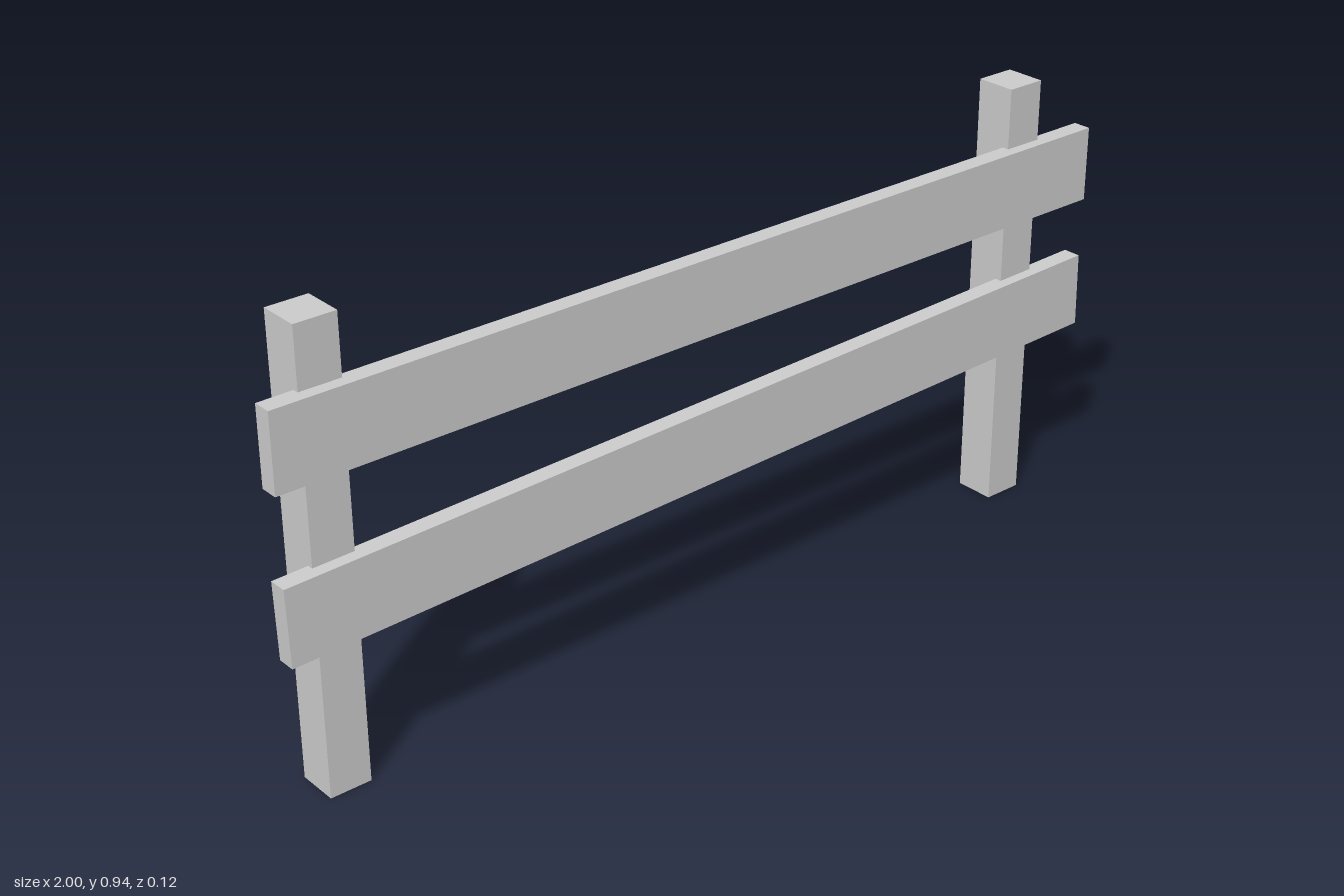
import * as THREE from 'three';

export function createModel() {
  const group = new THREE.Group();
  const material = new THREE.MeshStandardMaterial({ color: 0xcccccc, flatShading: true });

  // A plank or post, given its size and centre
  function timber(name, size, centre) {
    const mesh = new THREE.Mesh(new THREE.BoxGeometry(...size), material);
    mesh.name = name;
    mesh.position.set(...centre);
    group.add(mesh);
    return mesh;
  }

  // Square posts, standing slightly out of line with each other
  const postHeight = 0.94, postWidth = 0.087;
  timber('rightPost', [postWidth, postHeight, postWidth], [-0.881, postHeight / 2, -0.009]);
  timber('leftPost', [postWidth, postHeight, postWidth], [0.823, postHeight / 2, -0.018]);

  // Rails nailed across the front, each tilted from its -x end to its +x end
  function rail(name, yStart, yEnd) {
    const slope = Math.atan2(yEnd - yStart, 2);
    const length = 1.998 - 0.16 * Math.abs(Math.sin(slope));
    const mesh = timber(name, [length, 0.16, 0.039], [0, (yStart + yEnd) / 2, 0.0355]);
    mesh.rotation.set(0, 0.0065, slope);
  }
  rail('upperRail', 0.736, 0.731);
  rail('lowerRail', 0.397, 0.443);

  return group;
}
